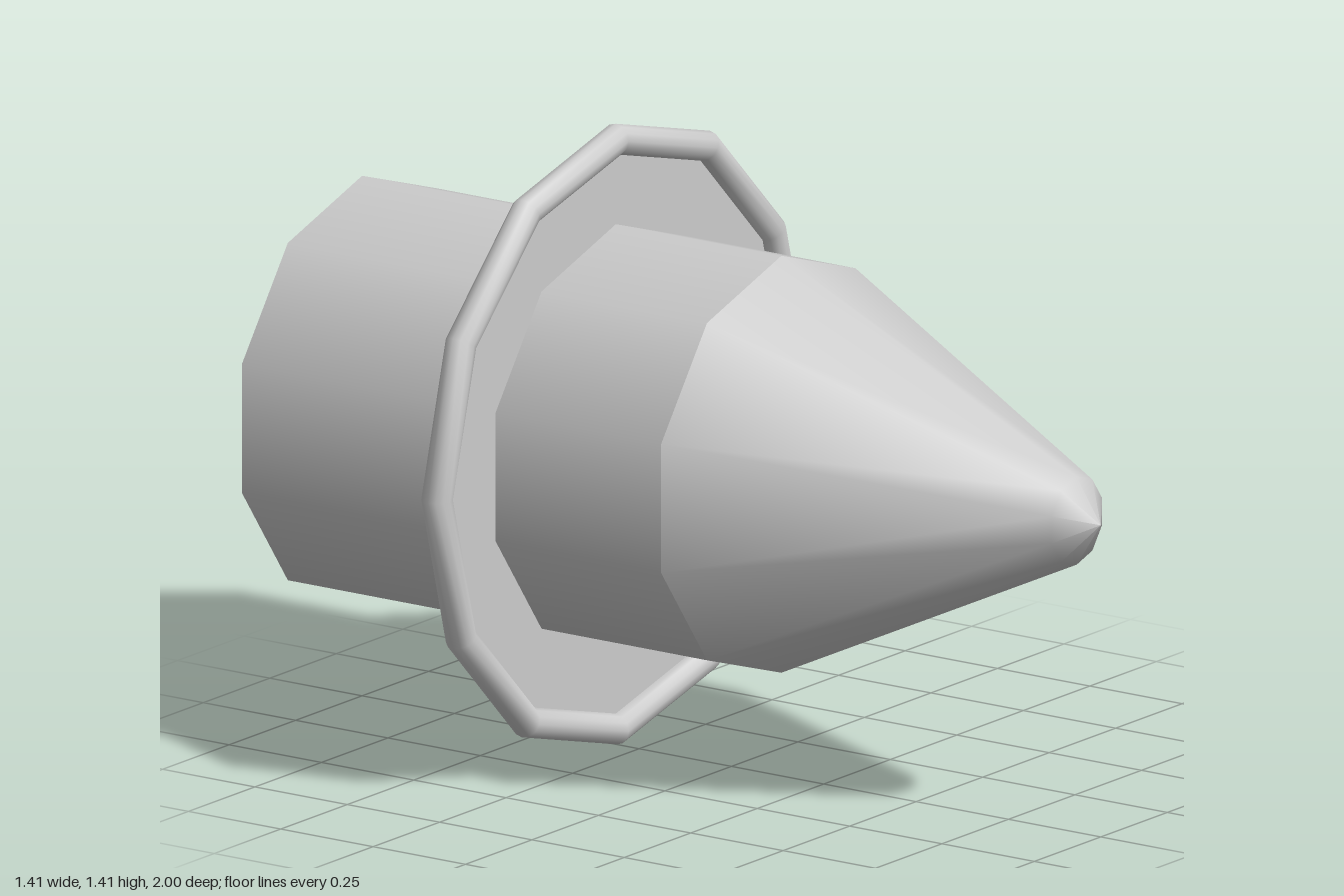
import * as THREE from 'three';

export function createModel() {
  const group = new THREE.Group();
  const material = new THREE.MeshStandardMaterial({ color: 0xcccccc });
  const thin = new THREE.MeshStandardMaterial({ color: 0xcccccc, side: THREE.DoubleSide });
  const add = (name, geometry, y, z, mat = material) => {
    const mesh = new THREE.Mesh(geometry, mat);
    mesh.name = name;
    mesh.position.set(0, y, z);
    group.add(mesh);
  };

  const radius = 0.475, shoulderZ = 0.135, backZ = -1, ringZ = -0.313;
  const bodyY = 0.714, ringY = 0.711;

  // Ten-sided straight body with a flat back
  const length = shoulderZ - backZ;
  add('body', new THREE.CylinderGeometry(radius, radius, length, 10).rotateX(Math.PI / 2),
    bodyY, (shoulderZ + backZ) / 2);

  // Tapered nose with a blunt tip
  const profile = [[radius, shoulderZ], [0.1, 0.935], [0, 1]].map(p => new THREE.Vector2(...p));
  add('nose', new THREE.LatheGeometry(profile, 10).rotateX(Math.PI / 2), bodyY, 0);

  // Twelve-sided collar: thin disc with a round rim
  add('collarDisc', new THREE.CircleGeometry(0.672, 12), ringY, ringZ, thin);
  add('collarRim', new THREE.TorusGeometry(0.672, 0.035, 12, 12), ringY, ringZ);

  return group;
}
